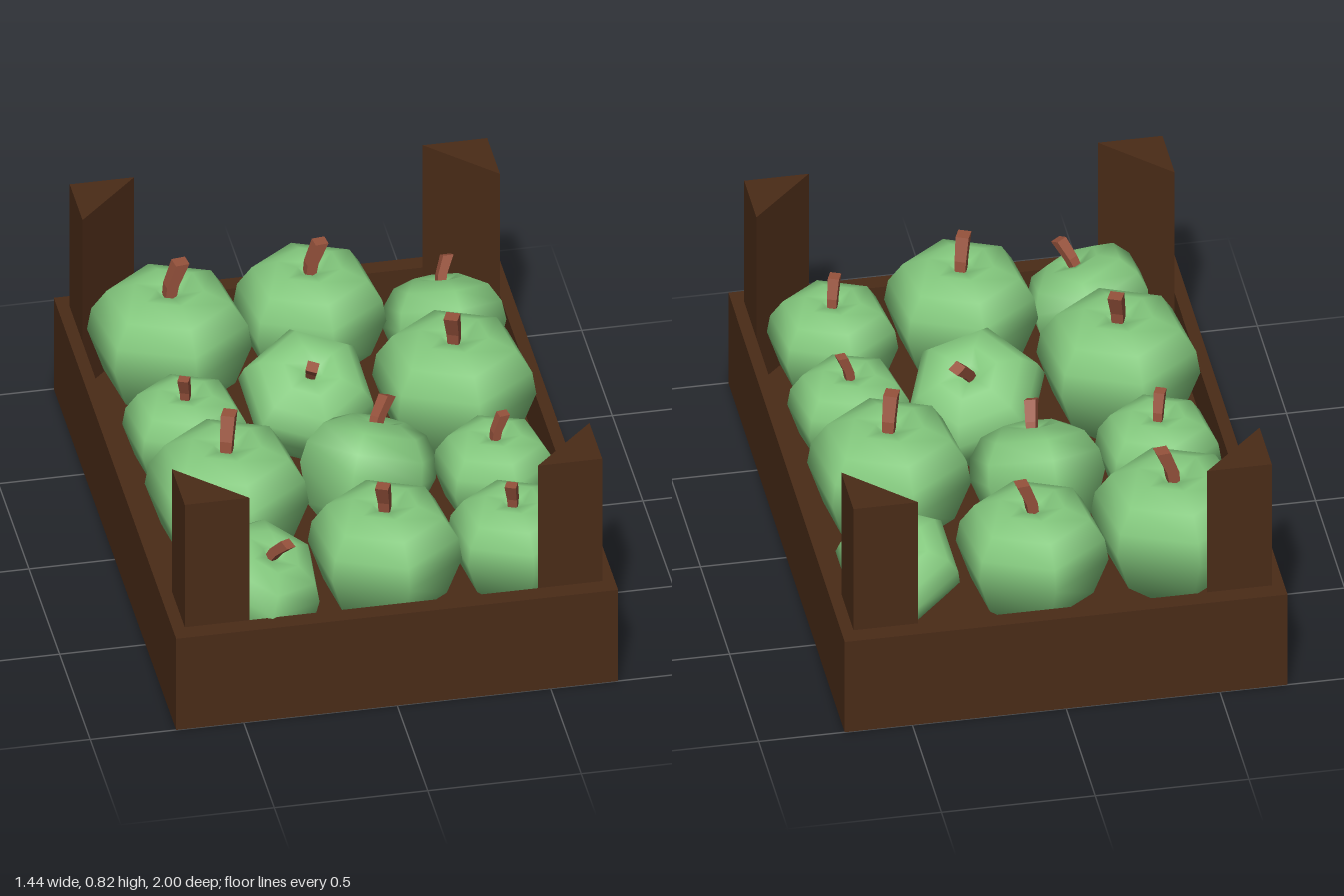
import * as THREE from 'three';

const wood = new THREE.MeshStandardMaterial({ color: 0x4a2b17, flatShading: true });
const skin = new THREE.MeshStandardMaterial({ color: 0x84c97e });
const bark = new THREE.MeshStandardMaterial({ color: 0x96523c, flatShading: true });

const WIDTH = 1.44, LENGTH = 2, HEIGHT = 0.35, FLOOR = 0.17;
const SIDE = 0.04, END = 0.06; // wall thicknesses

function addMesh(parent, name, geometry, material, x = 0, y = 0, z = 0) {
  const mesh = new THREE.Mesh(geometry, material);
  mesh.name = name;
  mesh.position.set(x, y, z);
  parent.add(mesh);
  return mesh;
}

function createCrate() {
  const crate = new THREE.Group();
  crate.name = 'crate';
  const innerX = WIDTH / 2 - SIDE, innerZ = LENGTH / 2 - END;

  // Tray: one rectangular rim with a floor inside it
  const rim = new THREE.Shape([[-1, -1], [1, -1], [1, 1], [-1, 1]]
    .map(([x, z]) => new THREE.Vector2(x * WIDTH / 2, z * LENGTH / 2)));
  rim.holes.push(new THREE.Path([[-1, -1], [-1, 1], [1, 1], [1, -1]]
    .map(([x, z]) => new THREE.Vector2(x * innerX, z * innerZ))));
  const walls = new THREE.ExtrudeGeometry(rim, { depth: HEIGHT, bevelEnabled: false });
  addMesh(crate, 'walls', walls.rotateX(-Math.PI / 2), wood);
  addMesh(crate, 'floor', new THREE.BoxGeometry(innerX * 2, FLOOR, innerZ * 2), wood, 0, FLOOR / 2, 0);

  // Triangular posts with the right angle in each inner corner
  const leg = 0.21;
  for (const sx of [-1, 1]) {
    for (const sz of [-1, 1]) {
      const corner = new THREE.Shape([
        new THREE.Vector2(sx * innerX, sz * innerZ),
        new THREE.Vector2(sx * (innerX - leg), sz * innerZ),
        new THREE.Vector2(sx * innerX, sz * (innerZ - leg)),
      ]);
      const post = new THREE.ExtrudeGeometry(corner, { depth: 0.82 - FLOOR, bevelEnabled: false });
      addMesh(crate, 'cornerPost', post.rotateX(-Math.PI / 2), wood, 0, FLOOR, 0);
    }
  }
  return crate;
}

// Six-sided fruit of unit radius, with a dimple at the top
const fruitGeometry = new THREE.LatheGeometry([
  [0, -0.8], [0.4, -0.9], [0.8, -0.55], [1, 0], [0.95, 0.3],
  [0.76, 0.58], [0.42, 0.72], [0.16, 0.66], [0, 0.54],
].map(([r, y]) => new THREE.Vector2(r, y)), 6);

// Square stem that widens and bends sideways towards its tip
function createStemGeometry() {
  const geometry = new THREE.CylinderGeometry(0.12, 0.09, 0.6, 4, 2);
  geometry.rotateY(Math.PI / 4).translate(0, 0.76, 0);
  const p = geometry.attributes.position;
  for (let i = 0; i < p.count; i++) {
    const t = (p.getY(i) - 0.46) / 0.6;
    p.setX(i, p.getX(i) + 0.16 * t * t - 0.02);
  }
  geometry.computeVertexNormals();
  return geometry;
}
const stemGeometry = createStemGeometry();

function createApple([x, y, z, radius, turn, tiltX = 0, tiltZ = 0]) {
  const apple = new THREE.Group();
  apple.name = 'apple';
  addMesh(apple, 'fruit', fruitGeometry, skin);
  addMesh(apple, 'stem', stemGeometry, bark);
  apple.position.set(x, y, z);
  apple.scale.setScalar(radius);
  // Spin about the core, then lean the core towards (tiltX, tiltZ)
  const up = new THREE.Vector3(0, 1, 0);
  const core = new THREE.Vector3(tiltX, 1, tiltZ).normalize();
  const spin = new THREE.Quaternion().setFromAxisAngle(up, THREE.MathUtils.degToRad(turn));
  apple.quaternion.setFromUnitVectors(up, core).multiply(spin);
  return apple;
}

// x, y, z, radius, turn in degrees, lean of the core along x and z
const apples = [
  [-0.42, 0.41, -0.615, 0.268, 8],
  [0.05, 0.405, -0.68, 0.25, 7],
  [0.475, 0.35, -0.615, 0.205, 7, 0, -0.5],
  [-0.46, 0.36, -0.15, 0.207, 247],
  [-0.05, 0.385, -0.235, 0.225, 247, 0.03, 0.5],
  [0.42, 0.41, -0.175, 0.268, 247],
  [-0.415, 0.41, 0.297, 0.268, 67],
  [0.06, 0.385, 0.22, 0.232, 35, 0.28, -0.45],
  [0.465, 0.36, 0.265, 0.202, 10],
  [-0.405, 0.35, 0.735, 0.215, 300, 0.35, 0.3],
  [0.02, 0.4, 0.7, 0.252, 247],
  [0.445, 0.36, 0.663, 0.215, 247],
];

export function createModel() {
  const model = new THREE.Group();
  model.name = 'crateOfApples';
  model.add(createCrate());
  for (const apple of apples) model.add(createApple(apple));
  return model;
}
